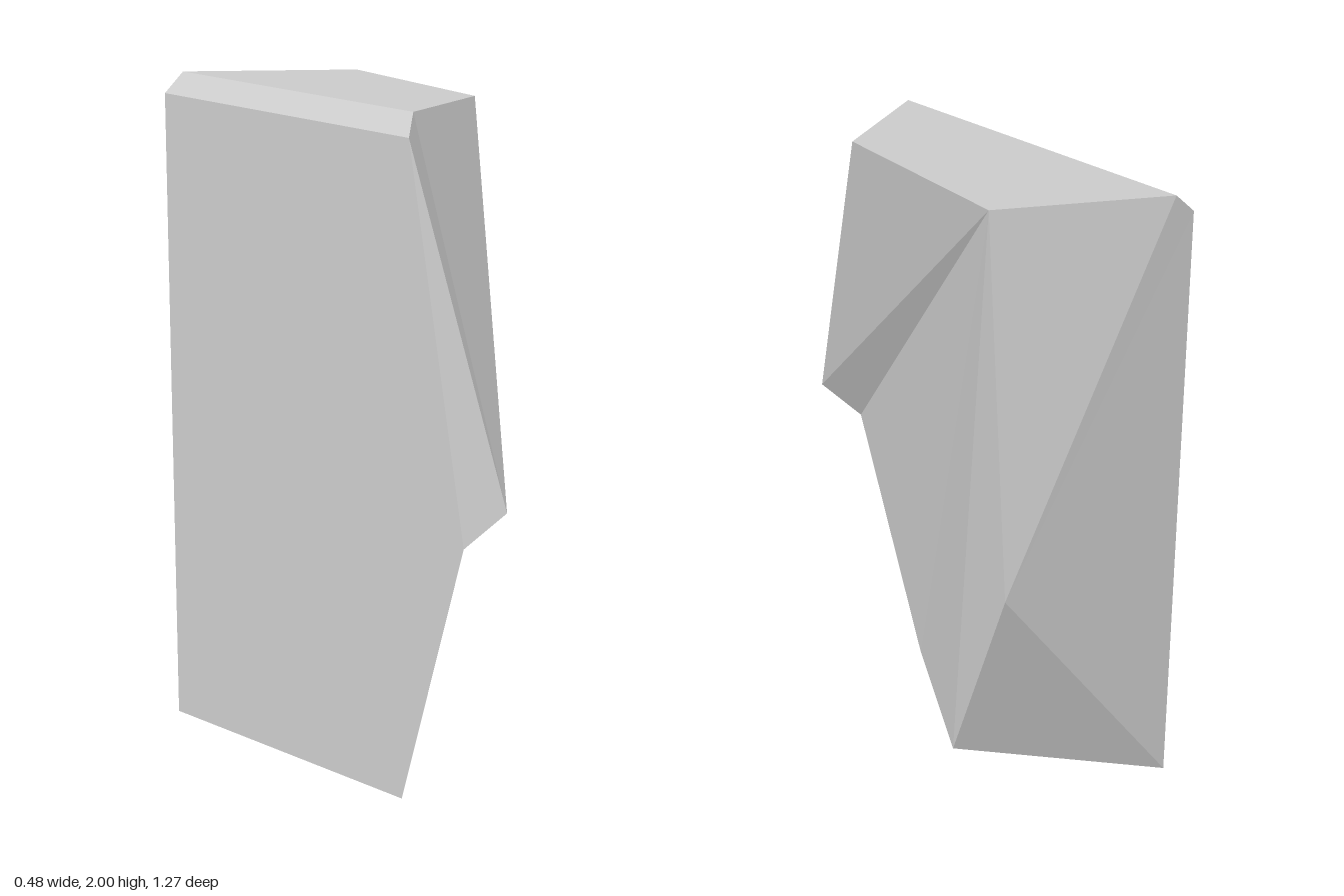
import * as THREE from 'three';

// Corner points of the faceted rock slab
const P = {
  topBack: [-0.19, 2, -0.61], topRight: [0.18, 2, -0.265],
  topFront: [0.1, 2, 0.265], topLeft: [-0.19, 2, 0.3],
  bevelBack: [-0.24, 1.94, -0.635], bevelFront: [-0.24, 1.94, 0.33],
  nose: [-0.17, 0.93, 0.635], noseLeft: [-0.24, 0.82, 0.54],
  side: [0.24, 0.8, -0.38],
  baseFront: [-0.24, 0, 0.31], baseRight: [0.08, 0, -0.07], baseBack: [-0.24, 0, -0.635],
};

// Facets, counter-clockwise from outside; each is fanned from its first corner
const FACETS = [
  ['topBack', 'topLeft', 'topFront', 'topRight'], // top
  ['topLeft', 'topBack', 'bevelBack', 'bevelFront'], // bevel
  ['bevelFront', 'bevelBack', 'baseBack', 'baseFront', 'noseLeft'], // flat side
  ['bevelFront', 'noseLeft', 'nose'], // upper front
  ['bevelFront', 'nose', 'topLeft'],
  ['topLeft', 'nose', 'topFront'],
  ['topRight', 'topFront', 'nose', 'noseLeft', 'baseFront', 'baseRight', 'side'], // broad face
  ['side', 'baseRight', 'baseBack'], // lower back
  ['side', 'baseBack', 'bevelBack', 'topBack', 'topRight'], // back
  ['baseRight', 'baseFront', 'baseBack'], // underside
];

function facetGeometry(facets) {
  const positions = [];
  for (const facet of facets) {
    for (let i = 1; i < facet.length - 1; i++) {
      positions.push(...P[facet[0]], ...P[facet[i]], ...P[facet[i + 1]]);
    }
  }
  const geometry = new THREE.BufferGeometry();
  geometry.setAttribute('position', new THREE.Float32BufferAttribute(positions, 3));
  geometry.computeVertexNormals();
  return geometry;
}

export function createModel() {
  const group = new THREE.Group();
  group.name = 'rock';
  const material = new THREE.MeshStandardMaterial({ color: 0xcccccc, flatShading: true });
  const slab = new THREE.Mesh(facetGeometry(FACETS), material);
  slab.name = 'rockSlab';
  group.add(slab);
  return group;
}
